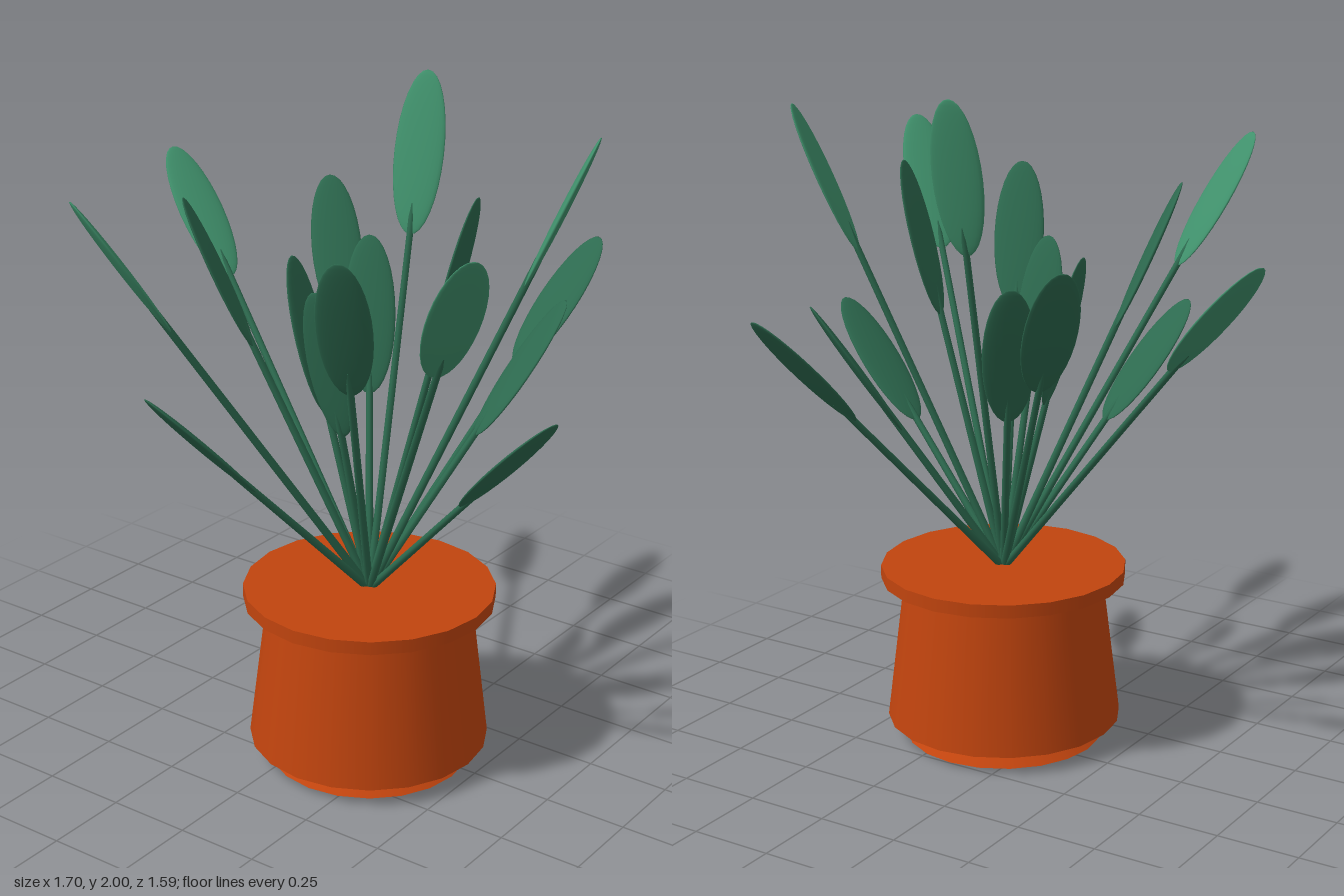
import * as THREE from 'three';

const mat = (name, color) => {
  const m = new THREE.MeshStandardMaterial({ color });
  m.name = name;
  return m;
};

export function createModel() {
  const root = new THREE.Group();
  root.name = 'pottedPlant';

  const terracotta = mat('terracotta', 0xc1440e);
  const soilDark = mat('soilDark', 0x2b2b2b);
  const deepGreen = mat('deepGreen', 0x2d6a4f);
  const brightGreen = mat('brightGreen', 0x40916c);

  // Pot: stacked tapered discs around one axis
  const pot = new THREE.Group();
  pot.name = 'pot';
  pot.position.set(0.153, 0, 0.055);
  root.add(pot);
  const disc = (name, rTop, rBottom, y0, y1, material) => {
    const mesh = new THREE.Mesh(new THREE.CylinderGeometry(rTop, rBottom, y1 - y0, 20), material);
    mesh.name = name;
    mesh.position.y = (y0 + y1) / 2;
    pot.add(mesh);
  };
  disc('potFoot', 0.225, 0.302, 0, 0.062, terracotta);
  disc('potBody', 0.303, 0.357, 0.06, 0.495, terracotta);
  disc('soil', 0.315, 0.315, 0.49, 0.507, soilDark);
  disc('potRim', 0.372, 0.372, 0.505, 0.545, terracotta);

  // Leaf centres [x, y, z], and whether the leaf is bright
  const leaves = [
    [0.345, 1.27, -0.645], [-0.265, 1.395, -0.355], [-0.7, 1.465, -0.24, true],
    [-0.04, 1.27, -0.21], [0.095, 1.77, -0.26, true], [0.443, 1.185, -0.278],
    [0.638, 1.71, -0.148, true], [0.403, 1.53, 0.007], [-0.045, 1.285, 0.077],
    [0.683, 1.09, 0.17], [-0.207, 1.495, 0.285], [0.15, 1.285, 0.25],
    [0.335, 1.475, 0.433], [0.718, 1.6, 0.5, true], [-0.052, 1.1, 0.563],
    [-0.222, 1.605, 0.67, true],
  ];
  const origin = new THREE.Vector3(0.153, 0.53, 0.055);
  const up = new THREE.Vector3(0, 1, 0);
  const halfLength = 0.235;
  const bladeGeo = new THREE.SphereGeometry(1, 24, 16).scale(0.077, halfLength, 0.012);

  for (const [x, y, z, bright] of leaves) {
    // Local y runs along the stem, local x is the level width of the blade
    const along = new THREE.Vector3(x, y, z).sub(origin);
    const reach = along.length();
    along.normalize();
    const across = new THREE.Vector3().crossVectors(up, along).normalize();
    const normal = new THREE.Vector3().crossVectors(across, along);
    const leaf = new THREE.Group();
    leaf.name = 'leaf';
    leaf.position.copy(origin);
    leaf.quaternion.setFromRotationMatrix(new THREE.Matrix4().makeBasis(across, along, normal));

    const stemLength = reach - halfLength + 0.09;
    const stem = new THREE.Mesh(new THREE.CylinderGeometry(0.01, 0.012, stemLength, 8), deepGreen);
    stem.name = 'stem';
    stem.position.y = stemLength / 2;

    const blade = new THREE.Mesh(bladeGeo, bright ? brightGreen : deepGreen);
    blade.name = 'blade';
    blade.position.y = reach;
    leaf.add(stem, blade);
    root.add(leaf);
  }
  return root;
}
